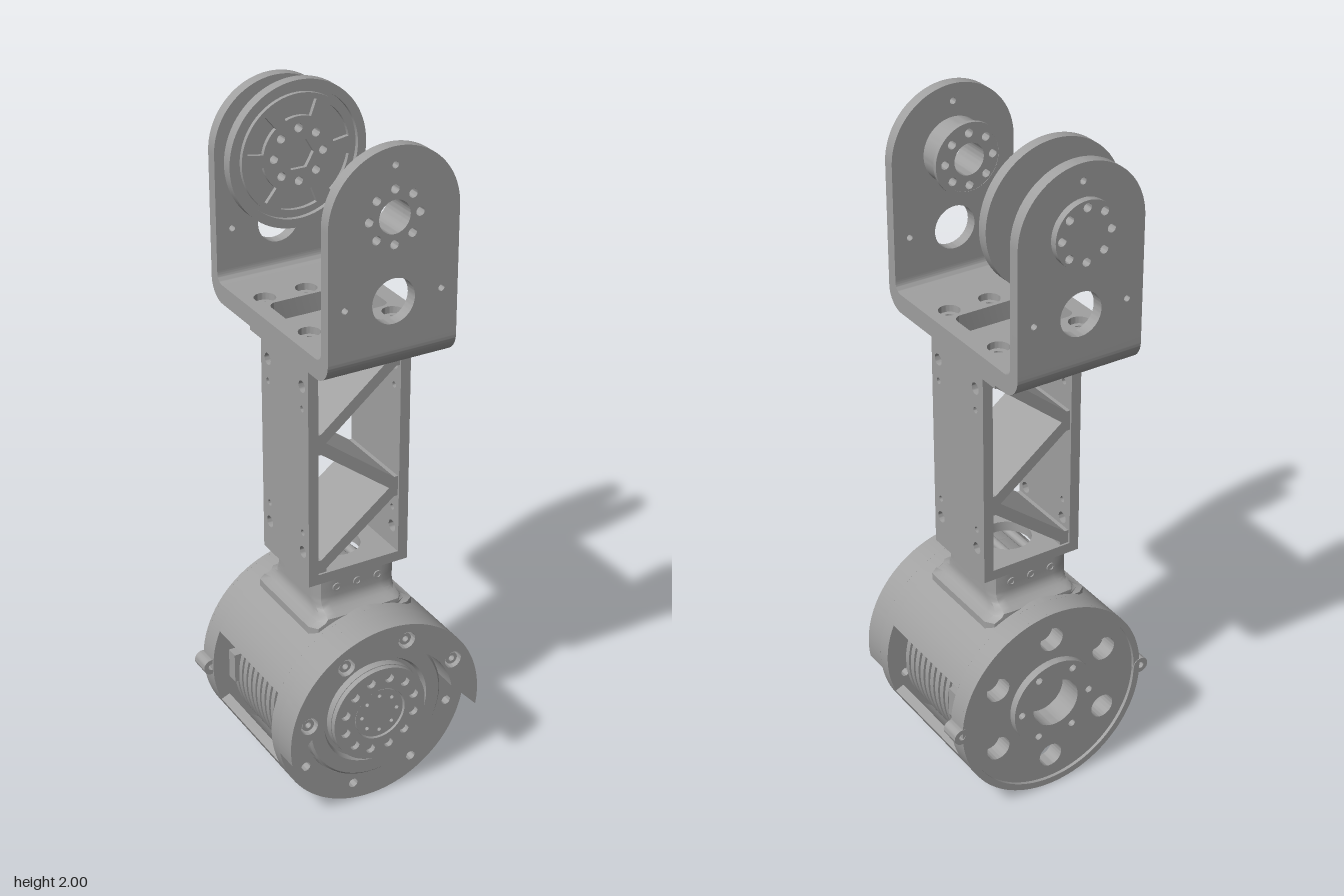
import * as THREE from 'three';
import { toCreasedNormals } from 'three/addons/utils/BufferGeometryUtils.js';

const metal = new THREE.MeshStandardMaterial({ color: 0xa0a0a0 });
metal.name = 'machined grey';
const PI = Math.PI, DRUM = 0.30, AXLE = 1.80;

function add(parent, name, geo, crease = 0.5) {
  const mesh = new THREE.Mesh(toCreasedNormals(geo, crease), metal);
  mesh.name = name;
  parent.add(mesh);
  return mesh;
}
// Shape helpers
function drill(shape, x, y, r) {
  shape.holes.push(new THREE.Path().absarc(x, y, r, 0, PI * 2, true));
  return shape;
}
function drillCircle(shape, cx, cy, ringR, n, r, start = 0) {
  for (let i = 0; i < n; i++) {
    const a = start + i * PI * 2 / n;
    drill(shape, cx + ringR * Math.cos(a), cy + ringR * Math.sin(a), r);
  }
  return shape;
}
function disc(cx, cy, r, hole = 0) {
  const s = new THREE.Shape().absarc(cx, cy, r, 0, PI * 2, false);
  return hole ? drill(s, cx, cy, hole) : s;
}
function sector(cx, cy, r0, r1, a0, a1, Type = THREE.Shape) {
  return new Type().absarc(cx, cy, r1, a0, a1, false).absarc(cx, cy, r0, a1, a0, true).closePath();
}
const polygon = pts => new THREE.Shape(pts.map(p => new THREE.Vector2(...p)));
const rect = (x0, y0, x1, y1) => polygon([[x0, y0], [x1, y0], [x1, y1], [x0, y1]]);
function roundRect(hx, hy, r, Type = THREE.Shape) {
  return new Type().absarc(hx - r, hy - r, r, 0, PI / 2).absarc(r - hx, hy - r, r, PI / 2, PI)
    .absarc(r - hx, r - hy, r, PI, PI * 1.5).absarc(hx - r, r - hy, r, PI * 1.5, PI * 2).closePath();
}
// Extrusions along z, along y (shape in x,-z) and along x (shape in -z,y)
function slab(shape, a, b, seg = 32) {
  return new THREE.ExtrudeGeometry(shape, { depth: b - a, bevelEnabled: false, curveSegments: seg }).translate(0, 0, a);
}
const flat = (shape, a, b) => slab(shape, a, b, 20).rotateX(-PI / 2);
const side = (shape, a, b) => slab(shape, a, b, 16).rotateY(PI / 2);
// Lathe about a z axis at height cy; points are [radius, z]
function turned(pts, cy) {
  return new THREE.LatheGeometry(pts.map(p => new THREE.Vector2(...p)), 64).rotateX(PI / 2).translate(0, cy, 0);
}

function buildHousing() {
  const g = new THREE.Group();
  g.name = 'motorHousing';
  const rad = d => d * PI / 180;
  // Shell between the windows: top, lower right, lower left
  for (const [a, b] of [[23, 157], [203, 248.5], [291.5, 337]])
    add(g, 'housingShell', slab(sector(0, DRUM, 0.272, 0.30, rad(a), rad(b)), -0.14, 0.21, 48));

  // Front ring and the raised lip over its upper half
  add(g, 'frontRing', slab(drillCircle(disc(0, DRUM, 0.30, 0.217), 0, DRUM, 0.25, 8, 0.014, rad(30.5)), 0.21, 0.25, 64));
  const a0 = rad(-9.6), a1 = rad(10.6);
  const lip = new THREE.Shape().absarc(0, DRUM, 0.30, a0, PI - a0, false).absarc(0, DRUM, 0.217, PI - a1, a1, true).closePath();
  for (let i = 0; i < 4; i++) {
    const a = rad(30.5 + 45 * i), x = 0.25 * Math.cos(a), y = DRUM + 0.25 * Math.sin(a);
    drill(lip, x, y, 0.026);
    add(g, 'lipBolt', slab(disc(x, y, 0.018, 0.009), 0.25, 0.312, 12));
  }
  add(g, 'frontLip', slab(lip, 0.25, 0.32, 48));

  // Rear plate with lightening holes, rim and bearing boss
  const rear = drillCircle(disc(0, DRUM, 0.30, 0.075), 0, DRUM, 0.205, 6, 0.037, rad(30));
  add(g, 'rearPlate', slab(rear, -0.192, -0.14, 48));
  add(g, 'rearRim', slab(disc(0, DRUM, 0.30, 0.28), -0.202, -0.192, 64));
  add(g, 'rearBoss', slab(drillCircle(disc(0, DRUM, 0.137, 0.075), 0, DRUM, 0.113, 6, 0.011), -0.215, -0.192, 48));
  for (const s of [-1, 1])
    add(g, 'cableEar', slab(disc(s * 0.303, DRUM, 0.024, 0.01), -0.204, -0.145, 16));

  // Finned motor inside
  const fins = [[0, -0.118], [0.235, -0.118]];
  for (let i = 0; i < 11; i++) {
    const z = -0.10 + i * 0.027;
    fins.push([0.235, z], [0.252, z], [0.252, z + 0.017], [0.235, z + 0.017]);
  }
  fins.push([0.235, 0.21], [0, 0.21]);
  add(g, 'finnedMotor', turned(fins, DRUM));
  for (const s of [-1, 1])
    add(g, 'connector', new THREE.BoxGeometry(0.03, 0.09, 0.035).translate(s * 0.25, 0.325, -0.09));

  // Output rotor on the front
  add(g, 'rotorBase', turned([[0, 0.20], [0.213, 0.20], [0.213, 0.258], [0.206, 0.265], [0.165, 0.265],
    [0.158, 0.25], [0.148, 0.25], [0.148, 0.272], [0, 0.272]], DRUM));
  add(g, 'rotorFace', slab(drillCircle(disc(0, DRUM, 0.146, 0.08), 0, DRUM, 0.113, 12, 0.014, rad(15)), 0.272, 0.288, 48));
  add(g, 'rotorCap', slab(drillCircle(disc(0, DRUM, 0.076), 0, DRUM, 0.056, 8, 0.006), 0.272, 0.284));
  return g;
}

// Rounded-rectangle neck, flaring into the drum
function neckGeometry() {
  const levels = [0.545, 0.575, 0.585, 0.595, 0.602, 0.61, 0.62, 0.63, 0.64, 0.66, 0.70], N = 40, pos = [], idx = [];
  const flare = h => { const t = 0.04 - Math.min(0.04, Math.max(0, h)); return 0.04 - Math.sqrt(0.0016 - t * t); };
  levels.forEach(y => {
    const fx = flare(y - 0.575), fz = flare(y - 0.6);
    roundRect(0.122 + fx, 0.122 + fz, 0.025).getSpacedPoints(N).slice(0, N).forEach(p => pos.push(p.x, y, 0.036 - p.y));
  });
  for (let j = 0; j < levels.length - 1; j++) for (let i = 0; i < N; i++) {
    const a = j * N + i, b = j * N + (i + 1) % N;
    idx.push(a, b, b + N, a, b + N, a + N);
  }
  const geo = new THREE.BufferGeometry();
  geo.setAttribute('position', new THREE.Float32BufferAttribute(pos, 3));
  geo.setIndex(idx);
  return geo;
}

function buildBeam() {
  const g = new THREE.Group();
  g.name = 'trussBeam';
  const zf = 0.165, zb = -0.09;
  add(g, 'neck', neckGeometry(), 0.7);
  for (const i of [-1, 0, 1]) {
    add(g, 'neckScrew', slab(disc(i * 0.065, 0.665, 0.013, 0.007), zb, 0.162, 12));
    for (const s of [-1, 1])
      add(g, 'neckScrew', side(disc(-0.036 + i * 0.062, 0.665, 0.013, 0.007), s > 0 ? 0.11 : -0.125, s > 0 ? 0.125 : -0.11));
  }
  // Side walls with bolt holes
  const wall = rect(-zf, 0.695, -zb, 1.38);
  for (const z of [0.132, -0.053]) {
    for (const y of [0.79, 1.29]) drill(wall, -z, y, 0.017);
    for (const y of [0.85, 1.225]) drill(wall, -z, y, 0.009);
  }
  for (const x of [-0.155, 0.125]) add(g, 'sideWall', side(wall, x, x + 0.03));
  // End plates
  add(g, 'bottomPlate', flat(drill(rect(-0.125, -zf, 0.125, -zb), 0, -0.037, 0.07), 0.695, 0.725));
  add(g, 'topPlate', flat(rect(-0.125, -zf, 0.125, -zb), 1.335, 1.38));
  add(g, 'topLedge', flat(rect(-0.155, -zb, 0.155, 0.15), 1.335, 1.38));
  // Zigzag web running the full depth
  const nodes = [[0.125, 1.325], [-0.125, 1.12], [0.125, 0.93], [-0.125, 0.735]], h = 0.021;
  for (let i = 0; i < 3; i++) {
    const [a, b] = nodes[i][0] < 0 ? [nodes[i], nodes[i + 1]] : [nodes[i + 1], nodes[i]];
    add(g, 'diagonalWeb', slab(polygon([[a[0], a[1] - h], [b[0], b[1] - h], [b[0], b[1] + h], [a[0], a[1] + h]]), zb + 0.006, zf - 0.006));
  }
  for (const [x, y] of nodes) {
    const s = Math.sign(x);
    add(g, 'webNode', new THREE.BoxGeometry(0.03, 0.06, 0.243).translate(x - s * 0.012, y, 0.0375));
  }
  return g;
}

function buildYoke() {
  const g = new THREE.Group();
  g.name = 'yoke';
  const W = 0.188, bolts = s => drillCircle(s, 0, AXLE, 0.073, 8, 0.012, 0);
  // Base with window and counterbored holes
  const base = rect(-W, -0.265, W, 0.245);
  base.holes.push(roundRect(0.14, 0.08, 0.025, THREE.Path));
  for (const x of [-0.125, 0, 0.125]) for (const z of [-0.12, 0.12]) {
    drill(base, x, -z, 0.03);
    add(g, 'counterboreSeat', flat(disc(x, -z, 0.031, 0.016), 1.38, 1.415));
  }
  add(g, 'yokeBase', flat(base, 1.38, 1.435));
  // Bent corners
  for (const [out, s] of [[-0.325, 1], [0.305, -1]]) {
    const c = out + s * 0.06;
    const bend = new THREE.Shape().moveTo(out, 1.465).lineTo(out, 1.44)
      .absarc(c, 1.44, 0.06, s > 0 ? PI : 0, s > 0 ? PI * 1.5 : -PI / 2, s < 0)
      .lineTo(c, 1.435).quadraticCurveTo(out + s * 0.034, 1.437, out + s * 0.034, 1.465).closePath();
    add(g, 'yokeBend', side(bend, -W, W));
  }
  // Upright cheeks
  for (const [z0, z1] of [[0.291, 0.325], [-0.305, -0.271]]) {
    const cheek = new THREE.Shape().moveTo(-W, 1.465).lineTo(W, 1.465).absarc(0, 1.795, W, 0, PI, false).closePath();
    bolts(drill(cheek, 0, AXLE, 0.045));
    drill(cheek, 0, 1.575, 0.062);
    for (const [x, y] of [[-0.14, 1.58], [0.14, 1.58], [0, 1.935]]) drill(cheek, x, y, 0.009);
    add(g, 'yokeCheek', slab(cheek, z0, z1));
  }
  // Front idler hub
  add(g, 'idlerHub', slab(bolts(disc(0, AXLE, 0.092, 0.045)), 0.214, 0.291));
  add(g, 'idlerFlange', slab(disc(0, AXLE, 0.102, 0.09), 0.213, 0.225));
  // Rear drive hub and outer cap
  add(g, 'driveHub', slab(bolts(disc(0, AXLE, 0.093)), -0.271, -0.185));
  add(g, 'driveCollar', slab(disc(0, AXLE, 0.106, 0.09), -0.222, -0.185));
  add(g, 'outerCap', slab(bolts(disc(0, AXLE, 0.092)), -0.325, -0.271));
  // Drive wheel with rim, pockets and hexagonal centre
  add(g, 'driveWheel', slab(bolts(disc(0, AXLE, 0.203)), -0.186, -0.168, 48));
  add(g, 'wheelRim', slab(disc(0, AXLE, 0.203, 0.178), -0.168, -0.155, 48));
  const face = bolts(disc(0, AXLE, 0.167));
  for (let i = 0; i < 6; i++) {
    const a = i * PI / 3 + 0.16;
    face.holes.push(sector(0, AXLE, 0.105, 0.152, a, a + PI / 3 - 0.32, THREE.Path));
  }
  const hex = [];
  for (let i = 0; i < 6; i++) hex.push(new THREE.Vector2(0.045 * Math.cos(i * PI / 3), AXLE + 0.045 * Math.sin(i * PI / 3)));
  face.holes.push(new THREE.Path(hex));
  add(g, 'wheelFace', slab(face, -0.168, -0.156));
  return g;
}

export function createModel() {
  const model = new THREE.Group();
  model.name = 'robotLegLink';
  model.add(buildHousing(), buildBeam(), buildYoke());
  return model;
}
